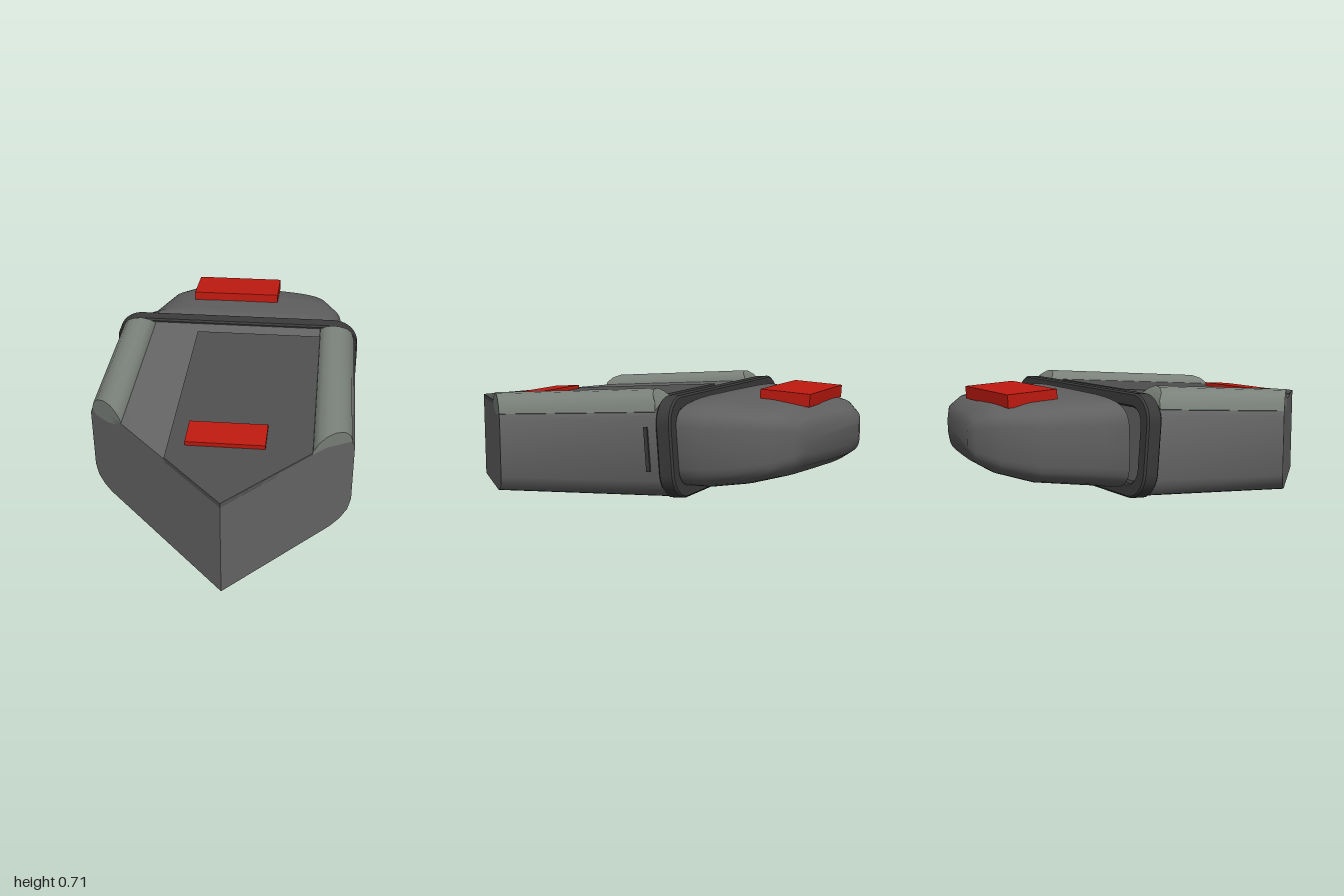
import * as THREE from 'three';
import { toCreasedNormals } from 'three/addons/utils/BufferGeometryUtils.js';

// Local frame: x across the hull, y up, -z towards the nose ("u" below is -z).
const SLOPE = 0.077;   // the hull rises towards the nose
const MID = -0.06;     // centre line of the hull
const KEEL = 0.028;    // where the two rear cuts meet

const mat = (color) => new THREE.MeshStandardMaterial({ color });
const hullMat = mat(0x666666), noseMat = mat(0x606060), ringMat = mat(0x3a3a3a);
const railMat = mat(0x7c827c), panelMat = mat(0x505050), redMat = mat(0xc01a10);

// Rear end: two planes that meet in a right-angled corner
const rearU = (v) => Math.max(-1.358 - v, v - 1.414);

function shapeOf(points) {
  return new THREE.Shape(points.map(([x, y]) => new THREE.Vector2(x, y)));
}

// Section swept from a front end back to the angled rear cuts
function sweep(points, frontU, crease = 0.6) {
  const geo = new THREE.ExtrudeGeometry(shapeOf(points), { depth: 1, bevelEnabled: false });
  const p = geo.attributes.position;
  for (let i = 0; i < p.count; i++) {
    const v = p.getX(i), y = p.getY(i);
    const u = THREE.MathUtils.lerp(frontU(y), rearU(v), p.getZ(i));
    p.setXYZ(i, v, y + SLOPE * (u - 0.33), -u);
  }
  return toCreasedNormals(geo, crease);
}

function roundedRect(path, x0, y0, x1, y1, r) {
  path.moveTo(x0 + r, y0);
  path.lineTo(x1 - r, y0);
  path.absarc(x1 - r, y0 + r, r, -Math.PI / 2, 0);
  path.lineTo(x1, y1 - r);
  path.absarc(x1 - r, y1 - r, r, 0, Math.PI / 2);
  path.lineTo(x0 + r, y1);
  path.absarc(x0 + r, y1 - r, r, Math.PI / 2, Math.PI);
  path.lineTo(x0, y0 + r);
  path.absarc(x0 + r, y0 + r, r, Math.PI, Math.PI * 1.5);
  return path;
}

// Skewed rounded sections: [u at vMin, vMin, u at vMax, vMax, bottom, top]
function noseGeometry() {
  const stations = [
    [0.36, -0.50, 0.34, 0.60, 0.18, 0.63],
    [0.445, -0.757, 0.37, 0.61, 0.16, 0.65],
    [0.53, -0.66, 0.50, 0.595, 0.165, 0.645],
    [0.84, -0.56, 0.67, 0.573, 0.20, 0.635],
    [1.00, -0.42, 0.85, 0.495, 0.25, 0.61],
    [1.085, -0.29, 0.95, 0.40, 0.31, 0.565],
    [1.10, -0.22, 0.98, 0.34, 0.37, 0.51],
  ];
  const N = 40, pos = [], idx = [];
  const bend = (c) => Math.sign(c) * Math.pow(Math.abs(c), 0.42);
  for (const [ua, va, ub, vb, y0, y1] of stations) {
    for (let j = 0; j < N; j++) {
      const a = (j / N) * Math.PI * 2;
      const t = 0.5 + 0.5 * bend(Math.cos(a));
      const h = 0.5 + 0.5 * bend(Math.sin(a));
      pos.push(va + (vb - va) * t, y0 + (y1 - y0) * h, -(ua + (ub - ua) * t));
    }
  }
  for (let i = 0; i < stations.length - 1; i++) {
    for (let j = 0; j < N; j++) {
      const k = (j + 1) % N;
      const a = i * N + j, b = i * N + k, c = a + N, d = b + N;
      idx.push(c, d, a, d, b, a);
    }
  }
  // End caps
  const last = (stations.length - 1) * N;
  for (let j = 1; j < N - 1; j++) {
    idx.push(0, j, j + 1, last, last + j + 1, last + j);
  }
  const geo = new THREE.BufferGeometry();
  geo.setAttribute('position', new THREE.Float32BufferAttribute(pos, 3));
  geo.setIndex(idx);
  return toCreasedNormals(geo, 0.75);
}

export function createModel() {
  const root = new THREE.Group();
  root.name = 'pod';
  const pod = new THREE.Group();
  pod.name = 'podAssembly';
  pod.rotation.y = -Math.PI / 4;
  root.add(pod);

  const add = (name, geo, material) => {
    const mesh = new THREE.Mesh(geo, material);
    mesh.name = name;
    pod.add(mesh);
    return mesh;
  };
  const box = (name, material, size, [v, y, u], tilt) => {
    const mesh = add(name, new THREE.BoxGeometry(...size), material);
    mesh.position.set(v, y, -u);
    mesh.rotation.x = tilt;
    return mesh;
  };
  const mirror = (pts) => pts.map(([v, y]) => [2 * MID - v, y]);

  // Hull, in two halves that meet along the rear corner
  const halfHull = [
    [0.55, 0.13], [0.60, 0.143], [0.64, 0.175], [0.658, 0.23],
    [0.66, 0.57], [0.64, 0.605], [0.52, 0.65], [0.46, 0.655],
  ];
  const ends = [[KEEL, 0.655], [KEEL, 0.13]];
  add('hullLeft', sweep([...halfHull, ...ends], () => 0.32), hullMat);
  add('hullRight', sweep([...mirror(halfHull), ...ends], () => 0.32), hullMat);

  // Raised deck panel
  for (const [name, edge] of [['deckPanelLeft', 0.445], ['deckPanelRight', -0.29]]) {
    add(name, sweep([[KEEL, 0.64], [edge, 0.64], [edge, 0.664], [KEEL, 0.664]],
      () => 0.163), panelMat);
  }

  // Rounded side rails with bevelled front ends
  const rail = [
    [0.44, 0.64], [0.447, 0.672], [0.475, 0.7], [0.515, 0.715], [0.56, 0.71],
    [0.605, 0.685], [0.635, 0.645], [0.648, 0.6], [0.62, 0.58], [0.5, 0.6],
  ];
  const railFront = (y) => 0.265 - Math.max(0, y - 0.64) * 0.8;
  add('railLeft', sweep(rail, railFront, 0.8), railMat);
  add('railRight', sweep(mirror(rail), railFront, 0.8), railMat);

  // Collar between hull and nose
  const w = 0.742, h = 0.275, b = 0.075;
  const collarShape = roundedRect(new THREE.Shape(), -w, -h, w, h, 0.15);
  collarShape.holes.push(roundedRect(new THREE.Path(), -w + b, -h + b, w - b, h - b, 0.09));
  const collarGeo = new THREE.ExtrudeGeometry(collarShape,
    { depth: 0.07, bevelThickness: 0.01, bevelSize: 0.01, bevelOffset: -0.01, bevelSegments: 1, curveSegments: 8 });
  collarGeo.translate(0, 0, -0.035);
  const collar = add('collar', toCreasedNormals(collarGeo, 0.5), ringMat);
  collar.position.set(-0.068, 0.398, -0.335);
  collar.rotation.x = SLOPE;

  add('nose', noseGeometry(), noseMat);

  // Red plates on deck and nose, and a thin strip on the left side
  box('rearPlate', redMat, [0.41, 0.035, 0.18], [0.003, 0.577, -0.87], SLOPE);
  box('nosePlate', redMat, [0.535, 0.07, 0.288], [-0.108, 0.647, 0.797], -0.05);
  box('sideStrip', ringMat, [0.02, 0.24, 0.022], [0.66, 0.395, 0.226], SLOPE);

  return root;
}
